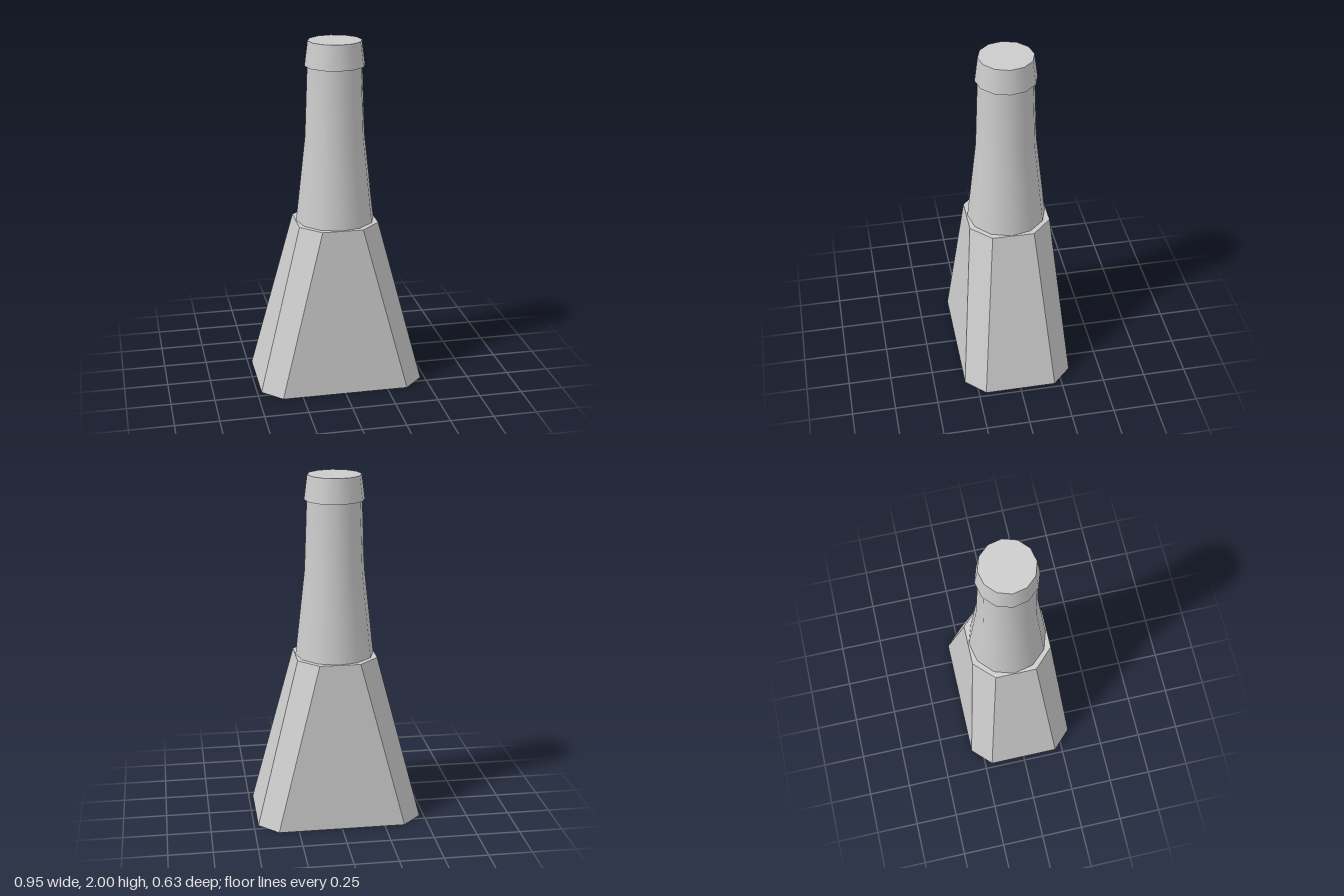
import * as THREE from 'three';

// Chamfered rectangle: half width, half depth, and the corner cut, at height y
function ring(w, d, cut, y) {
  const a = w - cut, b = d - cut;
  return [[a, d], [w, b], [w, -b], [a, -d], [-a, -d], [-w, -b], [-w, b], [-a, d]]
    .map(([x, z]) => [x, y, z]);
}

export function createModel() {
  const model = new THREE.Group();
  const grey = new THREE.MeshStandardMaterial({ color: 0xcccccc, side: THREE.DoubleSide });
  grey.name = 'light grey';

  const add = (name, geometry) => {
    const mesh = new THREE.Mesh(geometry, grey);
    mesh.name = name;
    model.add(mesh);
  };

  // Flared eight-sided skirt, open below and closed above
  const low = ring(0.475, 0.317, 0.11, 0);
  const high = ring(0.228, 0.231, 0.112, 0.965);
  const corners = [];
  for (let i = 0; i < 8; i++) {
    const j = (i + 1) % 8;
    corners.push(low[i], low[j], high[j], low[i], high[j], high[i]);
    corners.push([0, 0.965, 0], high[i], high[j]);
  }
  const skirt = new THREE.BufferGeometry();
  skirt.setAttribute('position', new THREE.Float32BufferAttribute(corners.flat(), 3));
  skirt.computeVertexNormals();
  add('flaredBase', skirt);

  // Smooth tapering neck with twelve sides, turned slightly
  const turn = -0.045;
  const profile = [[0.225, 0.965], [0.17, 1.46], [0.155, 1.862]]
    .map(([r, y]) => new THREE.Vector2(r, y));
  add('neck', new THREE.LatheGeometry(profile, 12, turn));

  // Overhanging collar that closes the top
  const collar = new THREE.CylinderGeometry(0.152, 0.17, 0.14, 12, 1, false, turn);
  collar.translate(0, 1.93, 0);
  add('collar', collar);

  return model;
}
